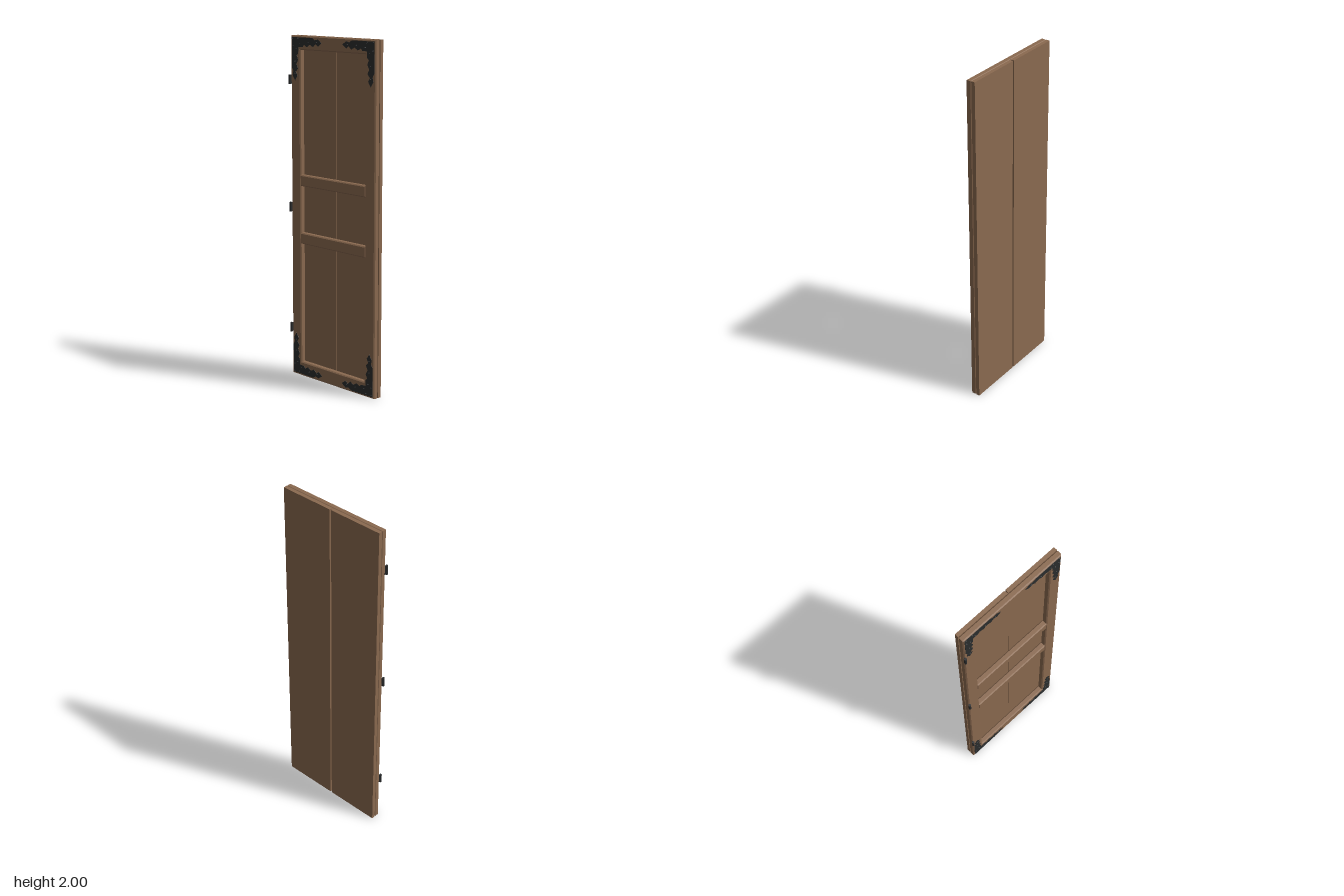
import * as THREE from 'three';

const wood = new THREE.MeshStandardMaterial({ color: 0x8b6a50 });
wood.name = 'brown wood';
const iron = new THREE.MeshStandardMaterial({ color: 0x2b2d2e });
iron.name = 'black iron';

const Z0 = -0.334, Z1 = 0.34, H = 2;   // door edges
const FRONT = 0.035, SEAM = 0.013, BACK = -0.022;   // layers across the thickness

export function createModel() {
  const door = new THREE.Group();
  door.name = 'door';

  function add(name, geometry, material) {
    const mesh = new THREE.Mesh(geometry, material);
    mesh.name = name;
    door.add(mesh);
    return mesh;
  }
  const shapeOf = (pts) => new THREE.Shape(pts.map(([a, b]) => new THREE.Vector2(a, b)));

  // Outline drawn as (z, y), thickened from xFront towards -x
  function slab(shape, xFront, xBack, bevel = 0) {
    const g = new THREE.ExtrudeGeometry(shape, {
      depth: xFront - xBack - 2 * bevel, bevelEnabled: bevel > 0, bevelSegments: 1,
      bevelSize: bevel, bevelThickness: bevel, bevelOffset: -bevel,
    });
    g.rotateY(-Math.PI / 2);
    g.translate(xFront - bevel, 0, 0);
    return g;
  }

  // Two upright planks with a V groove between them
  function plank(name, outline) {
    const g = new THREE.ExtrudeGeometry(shapeOf(outline), { depth: H, bevelEnabled: false });
    g.rotateX(-Math.PI / 2);   // outline is (x, -z)
    add(name, g, wood);
  }
  plank('rearPlank', [[SEAM, -Z0], [SEAM, -0.0015], [FRONT, 0.003], [FRONT, -Z0]]);
  plank('frontPlank', [[SEAM, -0.003], [SEAM, -Z1], [FRONT, -Z1], [FRONT, -0.0075]]);

  // Chamfered frame with one large opening
  const rect = (z0, z1, y0, y1) => [[z0, y0], [z1, y0], [z1, y1], [z0, y1]];
  const I0 = Z0 + 0.077, I1 = Z1 - 0.077;
  const frame = shapeOf(rect(Z0, Z1, 0, H));
  frame.holes.push(shapeOf(rect(I0, I1, 0.085, 1.92)));
  add('frame', slab(frame, SEAM, BACK, 0.006), wood);

  // Cross rails
  for (const [name, y0, y1] of [['lowerRail', 0.8, 0.865], ['upperRail', 1.14, 1.205]]) {
    add(name, slab(shapeOf(rect(I0 - 0.005, I1 + 0.005, y0, y1)), SEAM, BACK, 0.006), wood);
  }

  // One arm edge of a bracket: distance along the arm, width across it
  const arm = [[0.1, 0.062], [0.11, 0.05], [0.135, 0.062], [0.16, 0.047], [0.185, 0.06],
    [0.205, 0.042], [0.225, 0.055], [0.254, 0.036], [0.225, 0.016], [0.2, 0.022], [0.18, 0.01]];
  const bracketOutline = [[0.01, 0.01], ...arm.slice().reverse(), [0.064, 0.064],
    ...arm.map(([a, w]) => [w, a])];
  const armStuds = [[0.077, 0.045], [0.146, 0.036], [0.214, 0.036]];
  const studs = [[0.018, 0.018], [0.061, 0.02], [0.02, 0.061],
    ...armStuds, ...armStuds.map(([a, w]) => [w, a])];

  // Iron corner brackets with pointed studs
  for (const side of [-1, 1]) {
    for (const top of [false, true]) {
      const place = ([a, b]) => [side < 0 ? Z0 + a : Z1 - a, top ? H - b : b];
      const label = (top ? 'upper' : 'lower') + (side < 0 ? 'Rear' : 'Front');
      add(label + 'Bracket', slab(shapeOf(bracketOutline.map(place)), BACK, BACK - 0.0015), iron);
      for (const s of studs) {
        const [z, y] = place(s);
        const g = new THREE.ConeGeometry(0.0055, 0.007, 8).toNonIndexed();
        g.computeVertexNormals();
        g.rotateZ(Math.PI / 2);
        add(label + 'Stud', g, iron).position.set(BACK - 0.0045, y, z);
      }
    }
  }

  // Hinge barrels with a small leaf joining the frame
  for (const y of [0.285, 1.01, 1.75]) {
    add('hingeBarrel', new THREE.CylinderGeometry(0.0075, 0.0075, 0.055, 16), iron)
      .position.set(-0.0295, y, -0.3345);
    add('hingeLeaf', new THREE.BoxGeometry(0.01, 0.05, 0.006), iron)
      .position.set(-0.0225, y, -0.331);
  }

  return door;
}
